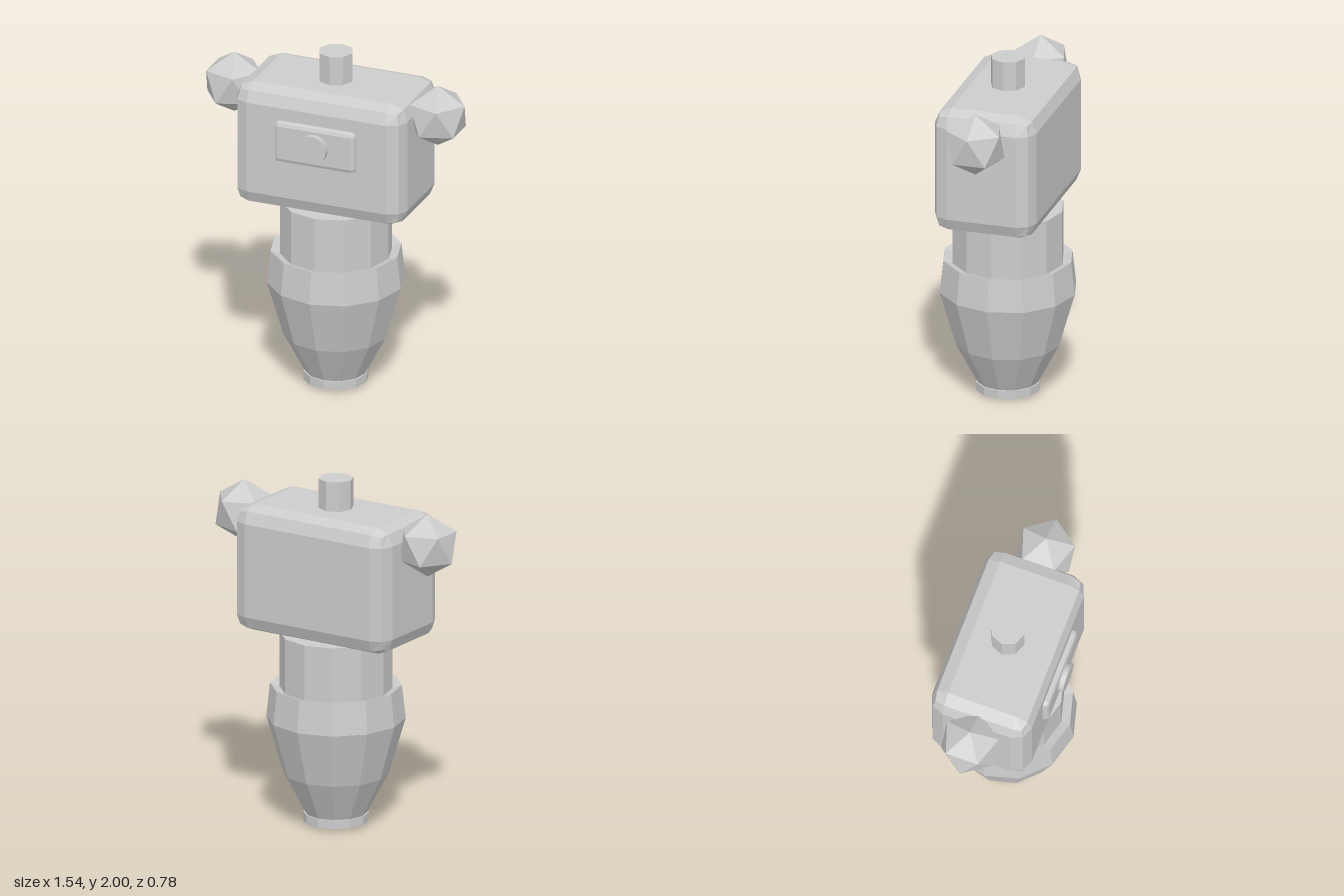
import * as THREE from 'three';
import { RoundedBoxGeometry } from 'three/addons/geometries/RoundedBoxGeometry.js';

export function createModel() {
  const group = new THREE.Group();
  const grey = new THREE.MeshStandardMaterial({ color: 0xcccccc, flatShading: true });
  grey.name = 'light grey';

  const add = (name, geometry, x = 0, y = 0, z = 0) => {
    const mesh = new THREE.Mesh(geometry, grey);
    mesh.name = name;
    mesh.position.set(x, y, z);
    group.add(mesh);
    return mesh;
  };
  // Twelve-sided turned part from [radius, height] pairs, bottom to top
  const turned = (name, profile) =>
    add(name, new THREE.LatheGeometry(profile.map(([r, y]) => new THREE.Vector2(r, y)), 12));

  // Tip and base ring
  add('tip', new THREE.ConeGeometry(0.04, 0.016, 12).rotateX(Math.PI), 0, 0.008, 0);
  turned('baseRing', [[0, 0.015], [0.183, 0.015], [0.183, 0.065], [0, 0.065]]);

  // Tapered lower body with a slightly dished top rim
  turned('lowerBody', [[0.172, 0.06], [0.295, 0.295], [0.388, 0.615], [0.367, 0.805], [0.31, 0.785]]);

  // Neck
  turned('neck', [[0.315, 0.76], [0.315, 1.105], [0, 1.105]]);

  // Head block with bevelled edges
  add('head', new RoundedBoxGeometry(1.02, 0.73, 0.59, 1, 0.095), 0, 1.465, 0);

  // Front panel and round button
  add('frontPanel', new RoundedBoxGeometry(0.485, 0.245, 0.1, 1, 0.025), 0, 1.54, 0.277);
  add('button', new THREE.CylinderGeometry(0.084, 0.084, 0.06, 24).rotateX(Math.PI / 2), 0, 1.54, 0.327);

  // Octagonal post on top
  add('topPost', new THREE.CylinderGeometry(0.098, 0.098, 0.2, 8), 0, 1.9, 0);

  // Faceted knobs at the sides, one corner pointing straight up
  const tilt = Math.atan(2 / (1 + Math.sqrt(5)));
  for (const [name, x] of [['leftKnob', 0.61], ['rightKnob', -0.61]]) {
    add(name, new THREE.IcosahedronGeometry(0.18, 0).rotateZ(-tilt), x, 1.71, 0);
  }

  return group;
}
